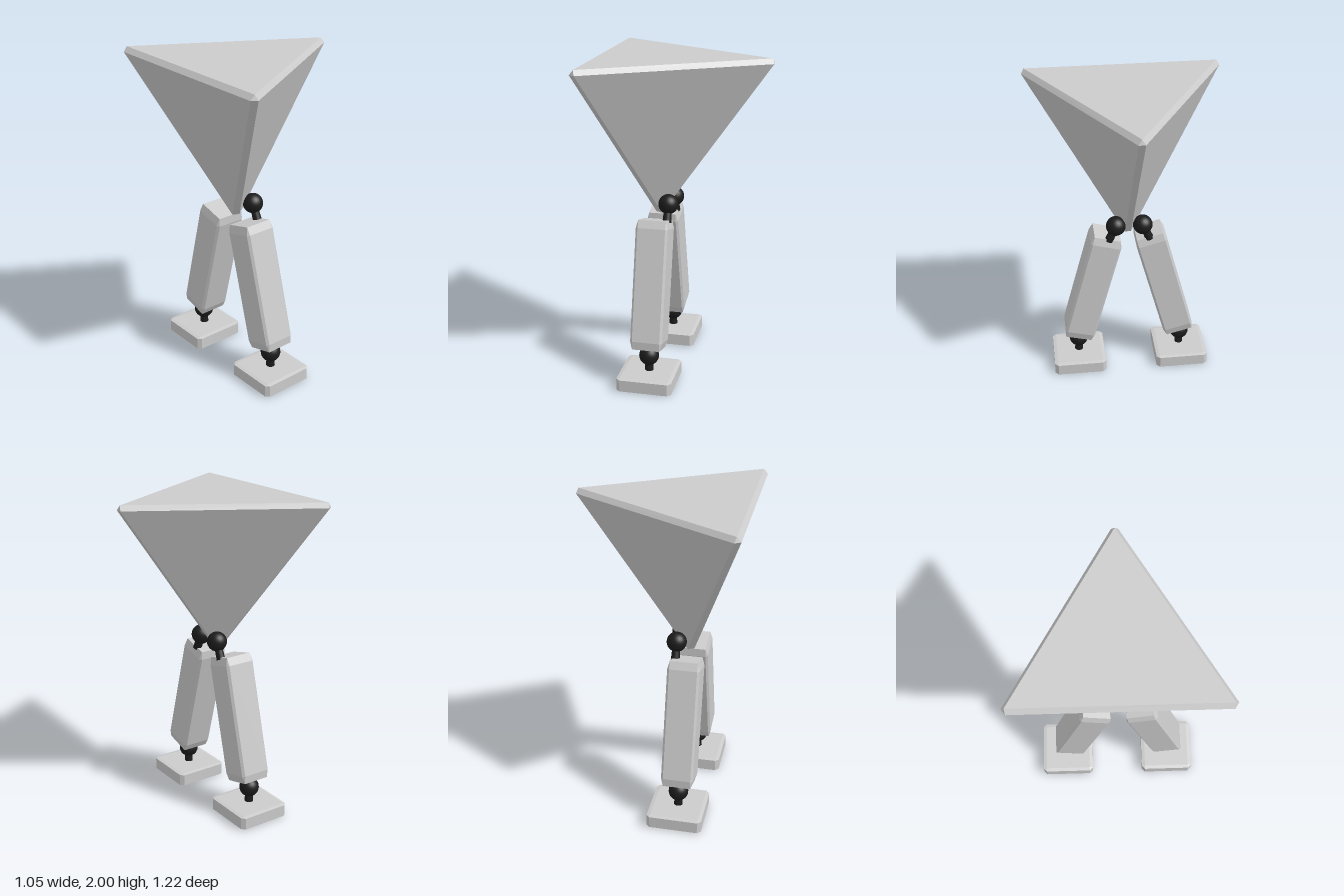
import * as THREE from 'three';
import { ConvexGeometry } from 'three/addons/geometries/ConvexGeometry.js';

const grey = new THREE.MeshStandardMaterial({ color: 0xcccccc, flatShading: true });
const black = new THREE.MeshStandardMaterial({ color: 0x1c1c1c });
const v = (x, y, z) => new THREE.Vector3(x, y, z);

function add(parent, name, geometry, material) {
  const mesh = new THREE.Mesh(geometry, material);
  mesh.name = name;
  parent.add(mesh);
  return mesh;
}

// Box with every edge chamfered; w, h, d are full sizes, bx, by, bz the chamfer insets
function chamferBox(w, h, d, bx, by, bz) {
  const pts = [];
  for (const i of [-1, 1]) for (const j of [-1, 1]) for (const k of [-1, 1]) {
    const x = w / 2, y = h / 2, z = d / 2;
    pts.push(
      v(i * x, j * (y - by), k * (z - bz)),
      v(i * (x - bx), j * y, k * (z - bz)),
      v(i * (x - bx), j * (y - by), k * z));
  }
  return new ConvexGeometry(pts);
}

// Ball with a short peg running from its centre to the end point
function ballJoint(parent, name, centre, end) {
  const joint = new THREE.Group();
  joint.name = name;
  parent.add(joint);
  add(joint, 'ball', new THREE.SphereGeometry(0.062, 24, 16), black).position.copy(centre);
  const dir = end.clone().sub(centre);
  const peg = add(joint, 'peg', new THREE.CylinderGeometry(0.022, 0.028, dir.length(), 16), black);
  peg.position.copy(centre).lerp(end, 0.5);
  peg.quaternion.setFromUnitVectors(v(0, -1, 0), dir.normalize());
}

export function createModel() {
  const model = new THREE.Group();
  model.name = 'walker';

  // Inverted tetrahedron body with chamfered edges
  const body = [v(0.515, 2, 0), v(-0.19, 1.015, 0)];
  for (const s of [-1, 1]) {
    body.push(
      v(-0.505, 2, s * 0.592),
      v(-0.53, 1.97, s * 0.588),
      v(-0.495, 1.97, s * 0.61),
      v(0.525, 1.97, s * 0.02),
      v(-0.15, 1.015, s * 0.02));
  }
  add(model, 'body', new ConvexGeometry(body), grey);

  // Two splayed legs, each with hip joint, shin, ankle joint and foot
  for (const s of [1, -1]) {
    const leg = new THREE.Group();
    leg.name = s > 0 ? 'frontLeg' : 'backLeg';
    model.add(leg);
    const footZ = s > 0 ? 0.336 : -0.353;
    const hipZ = s > 0 ? 0.082 : -0.088;

    ballJoint(leg, 'hipJoint', v(-0.095, 1.095, hipZ), v(-0.095, 0.99, hipZ + s * 0.045));

    const shin = add(leg, 'shin', chamferBox(0.2, 0.8, 0.2, 0.014, 0.05, 0.014), grey);
    shin.position.set(-0.165, 0.62, s * 0.237);
    shin.rotation.x = -s * THREE.MathUtils.degToRad(15);

    ballJoint(leg, 'ankleJoint', v(-0.165, 0.183, footZ), v(-0.165, 0.08, footZ));

    const foot = add(leg, 'foot', chamferBox(0.345, 0.085, 0.345, 0.022, 0.005, 0.022), grey);
    foot.position.set(-0.165, 0.0425, footZ);
  }
  return model;
}
